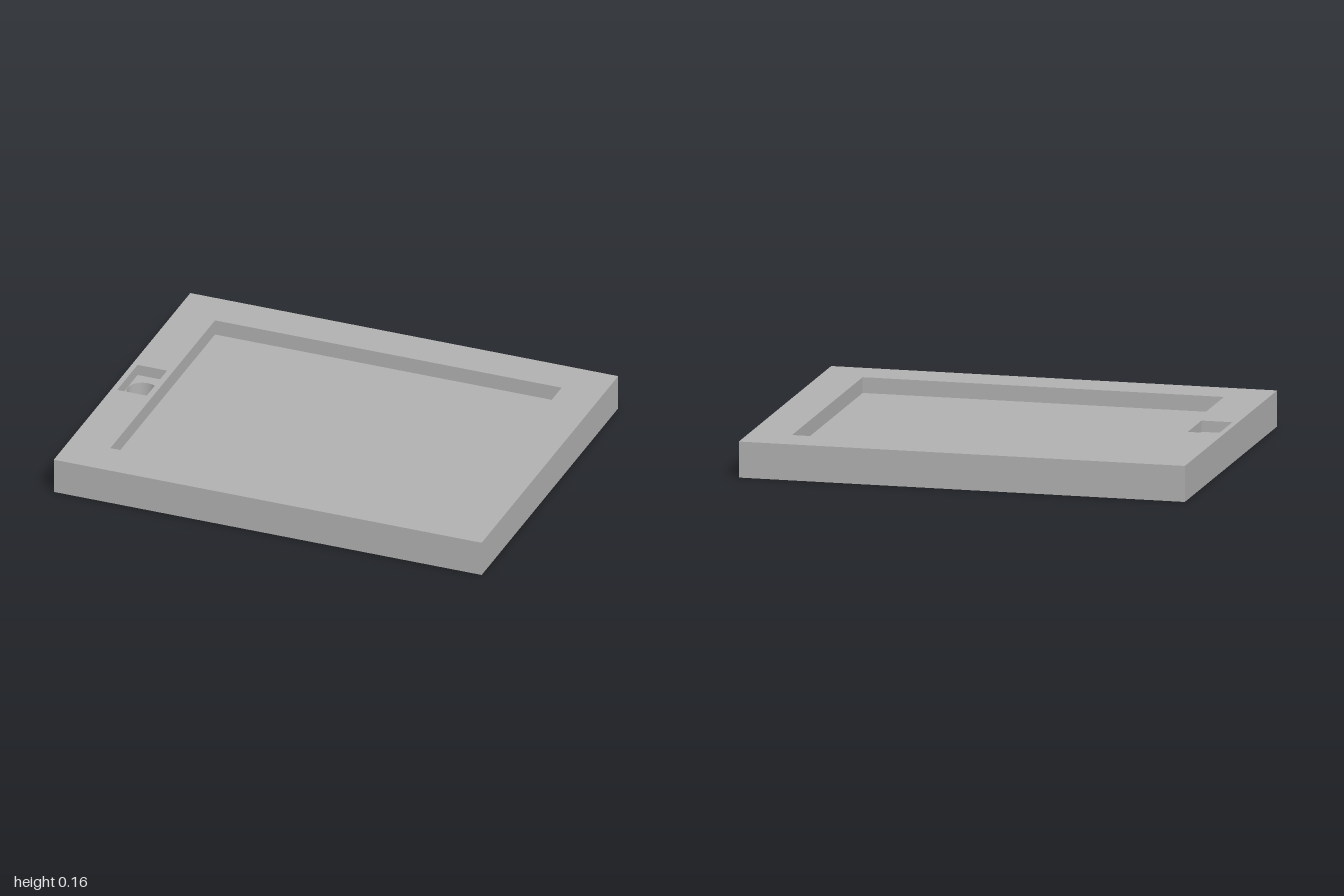
import * as THREE from 'three';
import { toCreasedNormals } from 'three/addons/utils/BufferGeometryUtils.js';

// Levels and outlines, in plan coordinates (x, -z)
const TOP = 0.16, PANEL = 0.09, LEDGE = 0.11;

const rect = (x0, x1, half) => [
  new THREE.Vector2(x0, -half), new THREE.Vector2(x1, -half),
  new THREE.Vector2(x1, half), new THREE.Vector2(x0, half)];

const circle = (cx, r, n) => Array.from({ length: n }, (_, i) => {
  const a = (i / n) * Math.PI * 2;
  return new THREE.Vector2(cx + r * Math.cos(a), r * Math.sin(a));
});

// Flat horizontal face with holes, facing up or down
function cap(outline, holes, y, up = true) {
  const shape = new THREE.Shape(outline);
  shape.holes = holes.map((h) => new THREE.Path(h));
  return new THREE.ShapeGeometry(shape).rotateX(up ? -Math.PI / 2 : Math.PI / 2).translate(0, y, 0);
}

// Vertical wall round a closed outline, facing outward or inward
function wall(outline, y0, y1, inward = false) {
  const pts = inward ? [...outline].reverse() : outline;
  const pos = [];
  pts.forEach((a, i) => {
    const b = pts[(i + 1) % pts.length];
    pos.push(a.x, y0, -a.y, b.x, y0, -b.y, b.x, y1, -b.y);
    pos.push(a.x, y0, -a.y, b.x, y1, -b.y, a.x, y1, -a.y);
  });
  const g = new THREE.BufferGeometry();
  g.setAttribute('position', new THREE.Float32BufferAttribute(pos, 3));
  g.computeVertexNormals();
  return toCreasedNormals(g, Math.PI / 6);
}

export function createModel() {
  const group = new THREE.Group();
  const grey = new THREE.MeshStandardMaterial({ color: 0xb2b2b2 });
  grey.name = 'grey';

  const edge = rect(-1, 1, 0.8);
  const recess = rect(-0.81, 0.81, 0.613);
  const slot = rect(-0.975, -0.837, 0.12);
  const hole = circle(-0.906, 0.068, 48);

  const add = (name, geometry) => {
    const mesh = new THREE.Mesh(geometry, grey);
    mesh.name = name;
    group.add(mesh);
  };

  // Outer slab
  add('outerSides', wall(edge, 0, TOP));
  add('frameTop', cap(edge, [recess, slot], TOP));
  add('underside', cap(edge, [hole], 0, false));

  // Large sunken panel
  add('recessWalls', wall(recess, PANEL, TOP, true));
  add('recessFloor', cap(recess, [], PANEL));

  // Small slot with a round through-hole
  add('slotWalls', wall(slot, LEDGE, TOP, true));
  add('slotFloor', cap(slot, [hole], LEDGE));
  add('throughHole', wall(hole, 0, LEDGE, true));

  return group;
}
